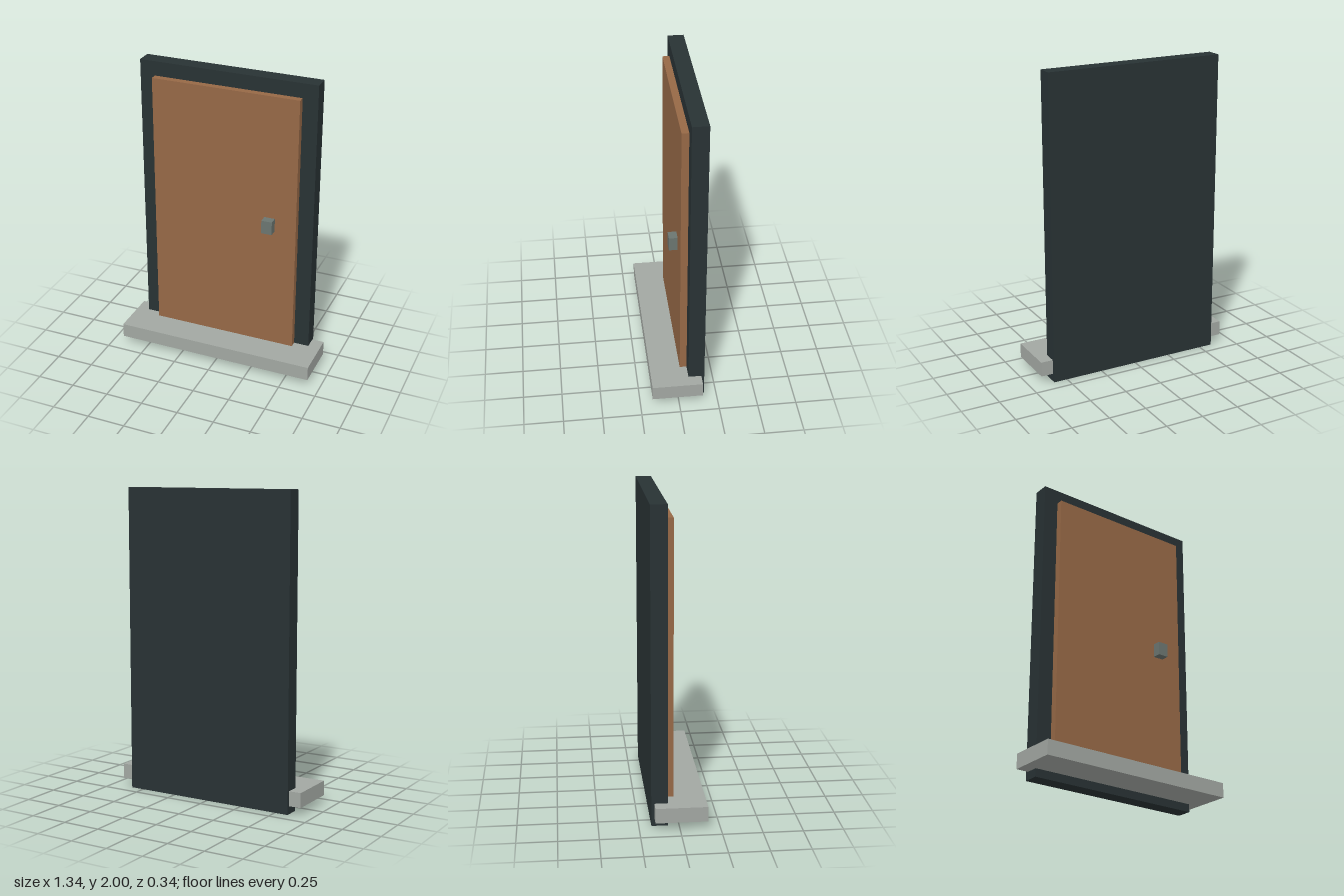
import * as THREE from 'three';

// Box given by its min and max corners
function block(name, color, [x0, y0, z0], [x1, y1, z1]) {
  const mesh = new THREE.Mesh(
    new THREE.BoxGeometry(x1 - x0, y1 - y0, z1 - z0),
    new THREE.MeshStandardMaterial({ color })
  );
  mesh.position.set((x0 + x1) / 2, (y0 + y1) / 2, (z0 + z1) / 2);
  mesh.name = name;
  return mesh;
}

export function createModel() {
  const group = new THREE.Group();
  group.name = 'door';
  group.add(
    // Solid dark slab behind the door
    block('frame', 0x283234, [-0.59, 0, -0.172], [0.59, 2, -0.069]),
    // Door leaf, its foot set into the step
    block('doorPanel', 0x966846, [-0.49, 0.1, -0.069], [0.49, 1.905, -0.024]),
    // Square handle on the model's left side
    block('handle', 0x6b7570, [0.277, 0.99, -0.024], [0.348, 1.08, 0.031]),
    // Threshold step
    block('step', 0xa2a7a2, [-0.67, 0.052, -0.153], [0.67, 0.148, 0.172])
  );
  return group;
}
